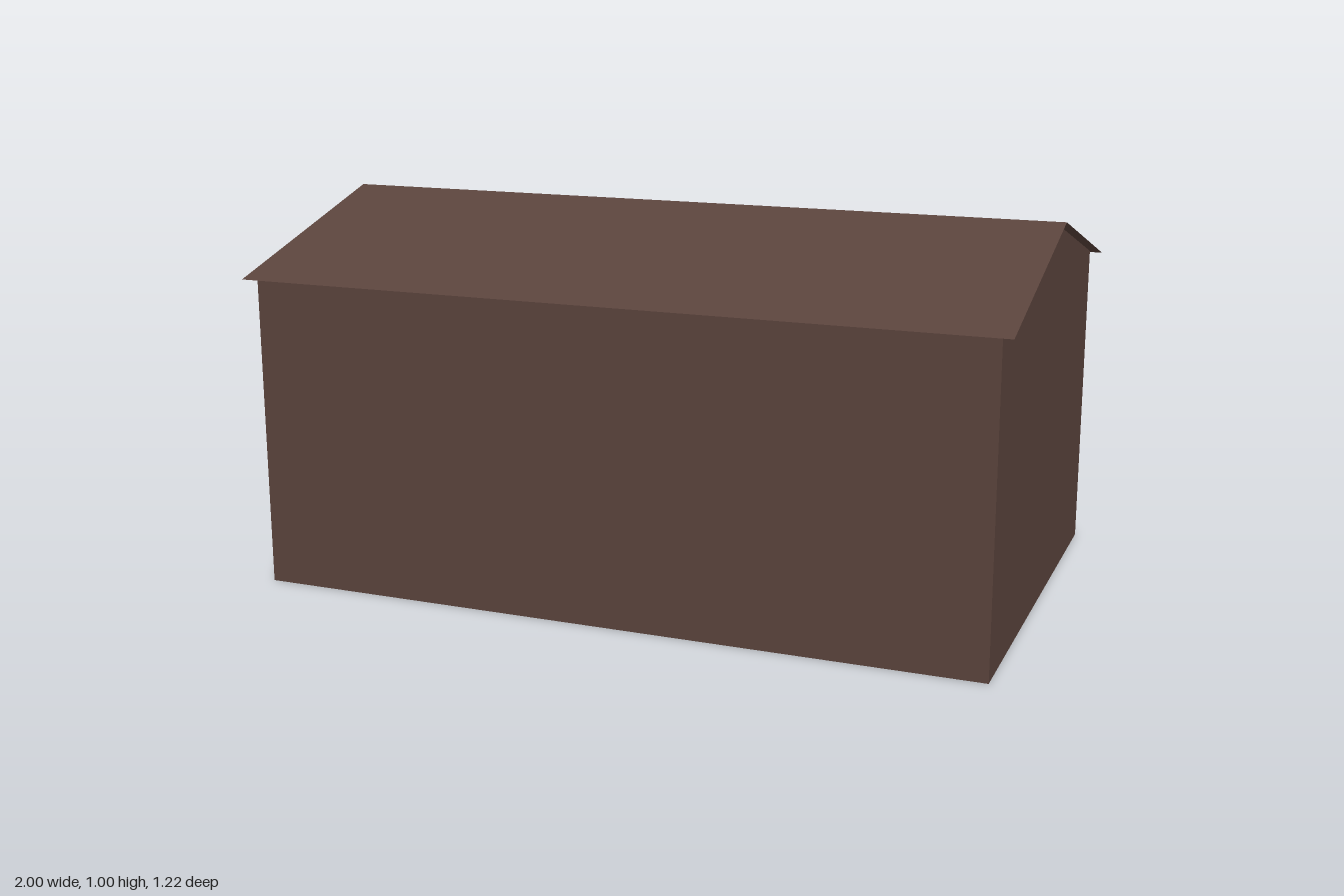
import * as THREE from 'three';

const WALL_X = 0.97, WALL_Z = 0.585;
const ROOF_X = 1.0, ROOF_Z = 0.61, EAVE_Y = 0.823, RIDGE_Y = 0.995;
const WALL_TOP = RIDGE_Y - (RIDGE_Y - EAVE_Y) * WALL_Z / ROOF_Z;

const v2 = (points) => points.map(([z, y]) => new THREE.Vector2(z, y));

export function createModel() {
  const brown = new THREE.MeshStandardMaterial({ name: 'brown boards', color: 0x5a433c, side: THREE.DoubleSide });
  const plaster = new THREE.MeshStandardMaterial({ name: 'grey plaster', color: 0x928b7f, side: THREE.DoubleSide });

  const model = new THREE.Group();
  model.name = 'shed';

  const add = (name, geometry, material) => {
    const mesh = new THREE.Mesh(geometry, material);
    mesh.name = name;
    model.add(mesh);
    return mesh;
  };

  // Flat end-wall piece: shape drawn in (z, y), stood up at the given x
  const addEnd = (name, shape, x, material) => {
    const geometry = new THREE.ShapeGeometry(shape, 8);
    geometry.rotateY(-Math.PI / 2);
    add(name, geometry, material).position.x = x;
  };

  // Long walls and roof slopes, mirrored front to back
  const slopeLength = Math.hypot(ROOF_Z, RIDGE_Y - EAVE_Y);
  const slopeAngle = Math.atan2(RIDGE_Y - EAVE_Y, ROOF_Z);
  for (const side of [1, -1]) {
    const label = side > 0 ? 'front' : 'back';
    const wall = add(label + 'Wall', new THREE.PlaneGeometry(2 * WALL_X, WALL_TOP), brown);
    wall.position.set(0, WALL_TOP / 2, side * WALL_Z);
    if (side < 0) wall.rotation.y = Math.PI;

    const slope = new THREE.PlaneGeometry(2 * ROOF_X, slopeLength);
    slope.rotateX(-Math.PI / 2 + side * slopeAngle);
    add(label + 'Roof', slope, brown).position.set(0, (EAVE_Y + RIDGE_Y) / 2, side * ROOF_Z / 2);
  }

  // Plain gable
  const gableTop = [[WALL_Z, WALL_TOP], [0, RIDGE_Y], [-WALL_Z, WALL_TOP]];
  addEnd('leftGable', new THREE.Shape(v2([[-WALL_Z, 0], [WALL_Z, 0], ...gableTop])), WALL_X, brown);

  // Plastered gable with a ragged lower edge and two worn spots
  const ragged = [
    [-WALL_Z, 0.05], [-0.5, 0.062], [-0.42, 0.045], [-0.34, 0.05], [-0.25, 0.043], [-0.14, 0.045],
    [-0.07, 0.06], [0, 0.075], [0.06, 0.07], [0.13, 0.05], [0.22, 0.052], [0.3, 0.045],
    [0.38, 0.06], [0.45, 0.055], [0.52, 0.045], [WALL_Z, 0.05],
  ];
  const plasterShape = new THREE.Shape(v2([...ragged, ...gableTop]));
  const spots = [
    [[-0.125, 0.41], [-0.105, 0.395], [-0.08, 0.41], [-0.072, 0.445], [-0.09, 0.467], [-0.12, 0.455]],
    [[-0.01, 0.435], [0.015, 0.428], [0.045, 0.442], [0.05, 0.464], [0.03, 0.466], [0, 0.452]],
  ];
  spots.forEach((spot, i) => {
    plasterShape.holes.push(new THREE.Path(v2(spot)));
    addEnd('wornSpot' + (i + 1), new THREE.Shape(v2(spot)), -WALL_X, brown);
  });
  addEnd('rightGablePlaster', plasterShape, -WALL_X, plaster);
  const base = [[-WALL_Z, 0], [WALL_Z, 0], ...[...ragged].reverse()];
  addEnd('rightGableBase', new THREE.Shape(v2(base)), -WALL_X, brown);

  return model;
}
